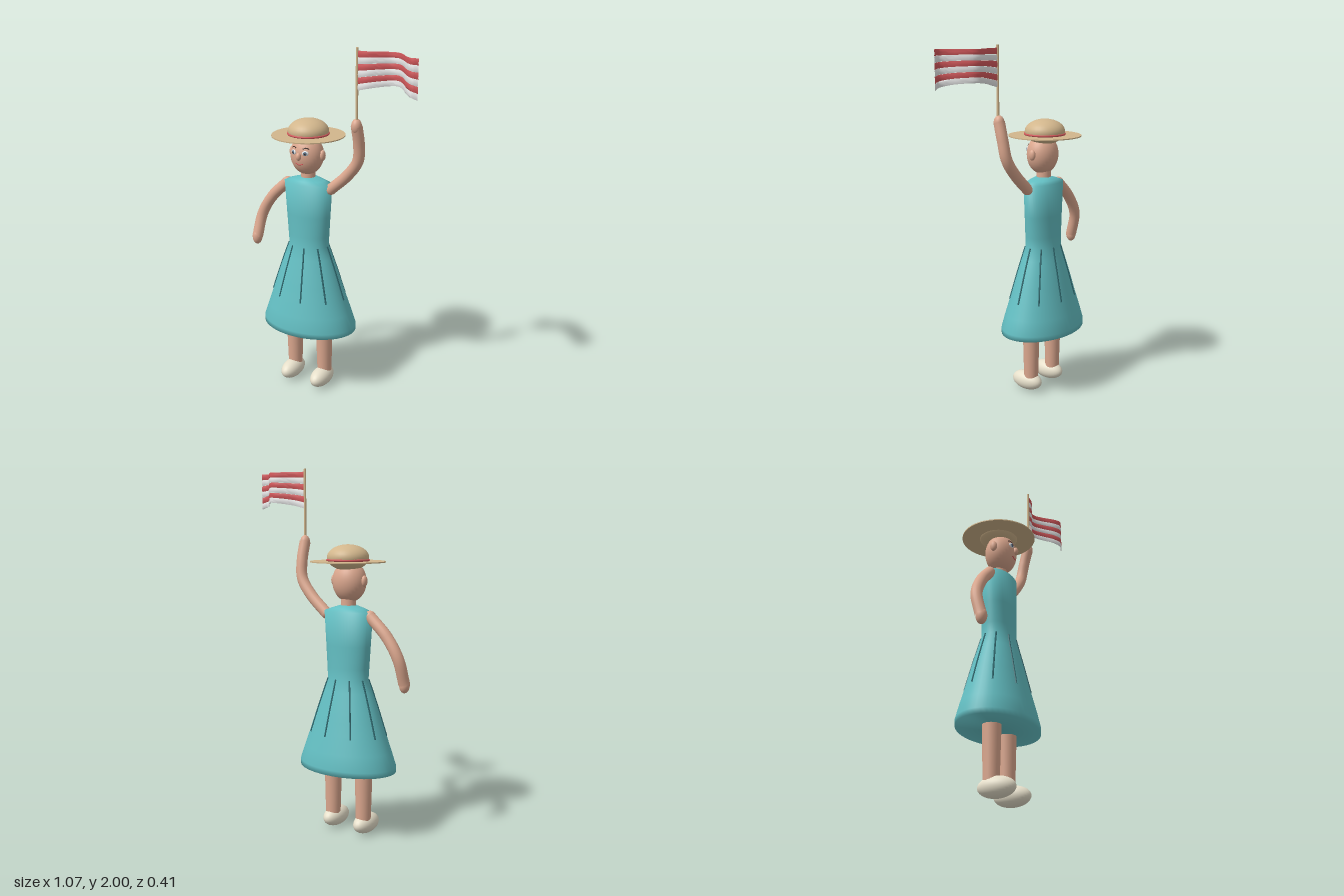
import * as THREE from 'three';
import { toCreasedNormals } from 'three/addons/utils/BufferGeometryUtils.js';

const mat = (name, color) => {
  const m = new THREE.MeshStandardMaterial({ color });
  m.name = name;
  return m;
};

const CX = -0.177; // body axis

// Dress cross-sections from hem to neckline: y, half width, half depth
const DRESS = [
  [0.37, 0, 0], [0.37, 0.287, 0.205], [0.4, 0.287, 0.205], [0.48, 0.259, 0.187],
  [0.575, 0.225, 0.162], [0.65, 0.2, 0.144], [0.72, 0.176, 0.127], [0.8, 0.147, 0.106],
  [0.87, 0.12, 0.089], [0.93, 0.125, 0.086], [1.05, 0.134, 0.085], [1.235, 0.148, 0.084],
  [1.252, 0.1, 0.068], [1.268, 0.045, 0.045], [1.268, 0, 0],
];

// Half width and half depth of the dress at a height
function dressAt(y) {
  let i = 2;
  while (DRESS[i + 1][0] < y) i++;
  const [y0, a0, b0] = DRESS[i], [y1, a1, b1] = DRESS[i + 1];
  const t = (y - y0) / (y1 - y0);
  return [a0 + (a1 - a0) * t, b0 + (b1 - b0) * t];
}

function dressGeometry() {
  const n = DRESS.length;
  const geo = new THREE.LatheGeometry(DRESS.map(([y, rx]) => new THREE.Vector2(rx, y)), 48);
  const p = geo.attributes.position;
  for (let i = 0; i < p.count; i++) {
    const [, rx, rz] = DRESS[i % n];
    if (rx > 0) p.setZ(i, p.getZ(i) * rz / rx);
  }
  return toCreasedNormals(geo, 1.75);
}

export function createModel() {
  const model = new THREE.Group();
  const skin = mat('skin', 0xdba78e);
  const teal = mat('dress teal', 0x63bec2);
  const foldTeal = mat('fold dark teal', 0x2f6a70);
  const straw = mat('straw', 0xd2b68c);
  const cream = mat('shoe cream', 0xe6dfca);
  const red = mat('red', 0xd2585b);
  const white = mat('white', 0xf0f0f0);
  const blue = mat('eye blue', 0x5c7690);
  const dark = mat('dark brown', 0x4a342c);

  const add = (name, geo, material, x = 0, y = 0, z = 0) => {
    const m = new THREE.Mesh(geo, material);
    m.name = name;
    m.position.set(x, y, z);
    model.add(m);
    return m;
  };
  const ball = (name, material, x, y, z, rx, ry, rz) => {
    const m = add(name, new THREE.SphereGeometry(1, 32, 20), material, x, y, z);
    m.scale.set(rx, ry, rz);
    return m;
  };
  const tube = (name, material, pts, r, seg = 32) => {
    const curve = new THREE.CatmullRomCurve3(pts.map((p) => new THREE.Vector3(...p)));
    return add(name, new THREE.TubeGeometry(curve, seg, r, r < 0.01 ? 6 : 18), material);
  };

  // Dress with nine skirt folds
  add('dress', dressGeometry(), teal, CX);
  for (let i = 0; i < 9; i++) {
    const a = (i / 9) * Math.PI * 2;
    const pts = [0.87, 0.8, 0.72, 0.65, 0.565].map((y) => {
      const [rx, rz] = dressAt(y);
      return [CX + rx * Math.cos(a), y, rz * Math.sin(a)];
    });
    tube('skirtFold', foldTeal, pts, 0.005, 16);
  }

  // Legs and shoes
  for (const s of [-1, 1]) {
    const x = CX + s * 0.102;
    add('leg', new THREE.CylinderGeometry(0.05, 0.041, 0.34, 24), skin, x, 0.23, 0.006);
    ball('shoe', cream, x, 0.055, 0.035, 0.055, 0.055, 0.1);
  }

  // Arms: one hanging, one raised
  tube('rightArm', skin, [[-0.315, 1.215, 0], [-0.42, 1.115, 0], [-0.49, 1.0, 0.005], [-0.508, 0.865, 0.04]], 0.031);
  ball('rightShoulder', skin, -0.315, 1.215, 0, 0.031, 0.031, 0.031);
  ball('rightHand', skin, -0.508, 0.862, 0.042, 0.028, 0.045, 0.03);
  tube('leftArm', skin, [[-0.03, 1.215, 0], [0.075, 1.31, 0], [0.14, 1.4, 0.005], [0.153, 1.5, 0.02], [0.152, 1.6, 0.045]], 0.031);
  ball('leftShoulder', skin, -0.03, 1.215, 0, 0.031, 0.031, 0.031);
  ball('leftHand', skin, 0.152, 1.595, 0.046, 0.028, 0.042, 0.03);

  // Neck, head and ears
  add('neck', new THREE.CylinderGeometry(0.04, 0.042, 0.1, 24), skin, CX, 1.28, 0);
  ball('head', skin, CX, 1.395, 0.008, 0.095, 0.112, 0.086);
  for (const s of [-1, 1]) ball('ear', skin, CX + s * 0.098, 1.4, 0.005, 0.015, 0.03, 0.02);

  // Face, laid on the head's surface
  const faceZ = (x, y) => 0.008 + 0.086 * Math.sqrt(1 - (x / 0.095) ** 2 - ((y - 1.395) / 0.112) ** 2);
  for (const s of [-1, 1]) {
    const z = faceZ(0.037, 1.42);
    ball('eyeWhite', white, CX + s * 0.037, 1.42, z, 0.018, 0.014, 0.007).rotation.y = s * 0.4;
    ball('iris', blue, CX + s * 0.037, 1.42, z + 0.004, 0.01, 0.011, 0.006).rotation.y = s * 0.4;
    ball('pupil', dark, CX + s * 0.037, 1.42, z + 0.008, 0.005, 0.005, 0.004);
    tube('eyebrow', dark, [0.02, 0.037, 0.053].map((x, i) => {
      const y = 1.442 + (i === 1 ? 0.006 : 0);
      return [CX + s * x, y, faceZ(x, y)];
    }), 0.003, 10);
  }
  ball('nose', skin, CX, 1.4, 0.096, 0.015, 0.022, 0.015);
  tube('mouth', red, [-0.024, 0, 0.024].map((x) => {
    const y = 1.353 + x * x * 12;
    return [CX + x, y, faceZ(x, y)];
  }), 0.003, 12);

  // Straw hat
  const hz = -0.007;
  ball('hatCrown', straw, CX, 1.523, hz, 0.113, 0.07, 0.113);
  add('hatBrim', new THREE.CylinderGeometry(0.203, 0.203, 0.006, 64), straw, CX, 1.501, hz);
  const band = add('hatBand', new THREE.TorusGeometry(0.111, 0.006, 8, 48), red, CX, 1.51, hz);
  band.rotation.x = Math.PI / 2;

  // Flag pole
  add('flagPole', new THREE.CylinderGeometry(0.007, 0.007, 0.42, 12), straw, 0.155, 1.79, 0.05);

  // Waving flag: six padded stripes following one wave
  const wave = new THREE.CatmullRomCurve3([
    [0.157, 0.05], [0.21, 0.05], [0.27, 0.028], [0.33, 0.005], [0.37, 0.012],
    [0.42, 0.06], [0.46, 0.11], [0.5, 0.14], [0.535, 0.133],
  ].map(([x, z]) => new THREE.Vector3(x, 0, z)));
  for (let k = 0; k < 6; k++) {
    const geo = new THREE.CylinderGeometry(1, 1, 1, 10, 32, true);
    const p = geo.attributes.position;
    for (let i = 0; i < p.count; i++) {
      const t = p.getY(i) + 0.5;
      const c = wave.getPoint(t);
      const step = (1.985 - (1.782 + 0.035 * Math.sin(Math.PI * t))) / 6;
      const y = 1.985 - step * (k + 0.5) + p.getX(i) * step * 0.51;
      p.setXYZ(i, c.x, y, c.z - p.getZ(i) * 0.0035);
    }
    const stripe = toCreasedNormals(geo, 1.2);
    add('flagStripe', stripe, k % 2 ? white : red);
  }
  return model;
}
